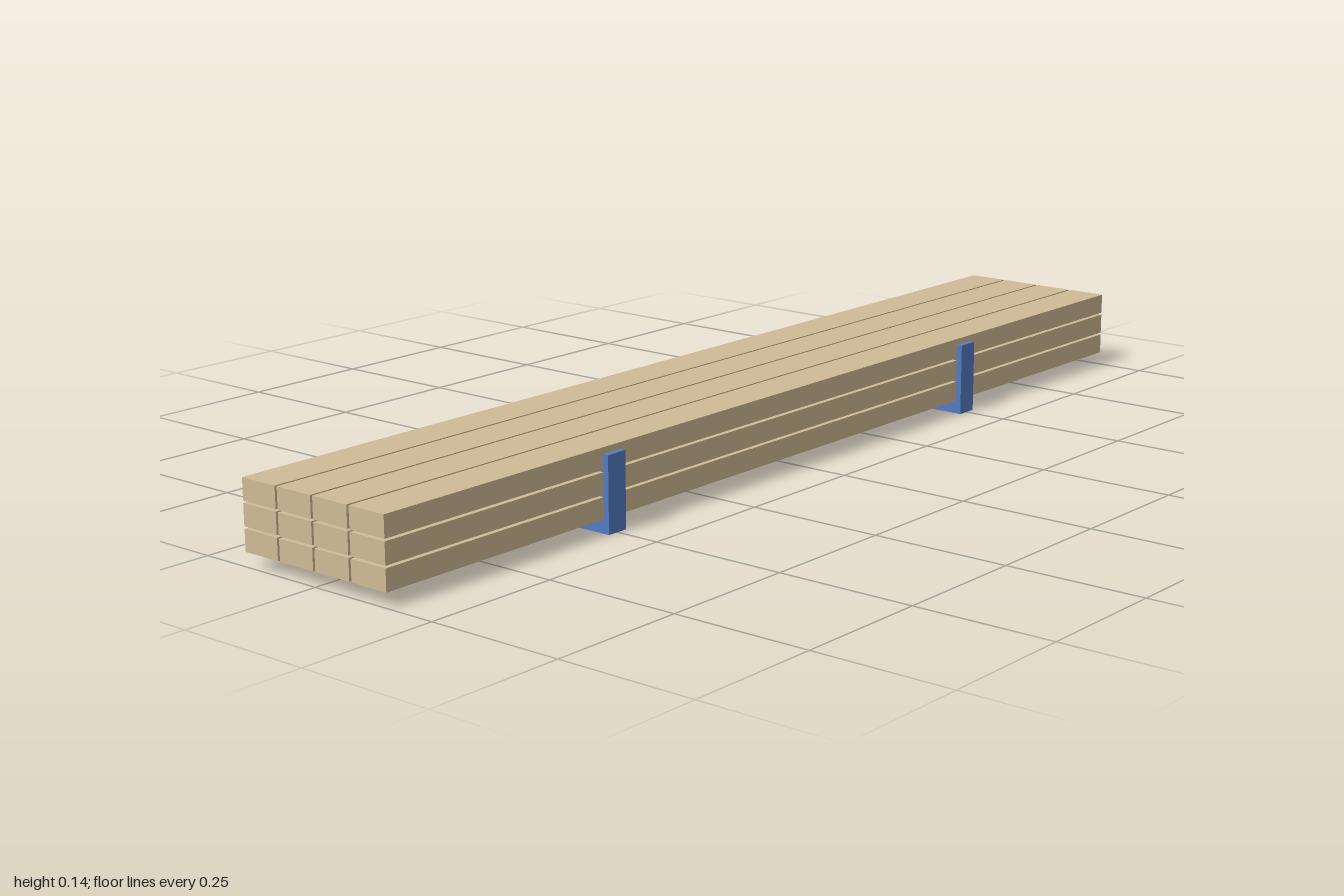
import * as THREE from 'three';

export function createModel() {
  const model = new THREE.Group();
  model.name = 'lumberStack';
  const wood = new THREE.MeshStandardMaterial({ color: 0xcfbb96 });
  const blue = new THREE.MeshStandardMaterial({ color: 0x527bc0 });

  const addBox = (name, size, position, material) => {
    const mesh = new THREE.Mesh(new THREE.BoxGeometry(...size), material);
    mesh.name = name;
    mesh.position.set(...position);
    model.add(mesh);
  };

  // Three layers of four planks with narrow gaps
  const height = 0.0375, width = 0.075, base = 0.0245;
  for (let row = 0; row < 3; row++) {
    for (let col = 0; col < 4; col++) {
      const y = base + height / 2 + row * 0.0415;
      const z = (col - 1.5) * 0.0797 - 0.001;
      addBox(`plank${row + 1}_${col + 1}`, [2, height, width], [0, y, z], wood);
    }
  }

  // Two carriers under and around the stack, also filling the gaps between planks
  for (const side of [-1, 1]) {
    addBox(side > 0 ? 'leftCarrier' : 'rightCarrier',
      [0.0417, 0.1335, 0.3333], [side * 0.5, 0.06675, 0], blue);
  }
  return model;
}
